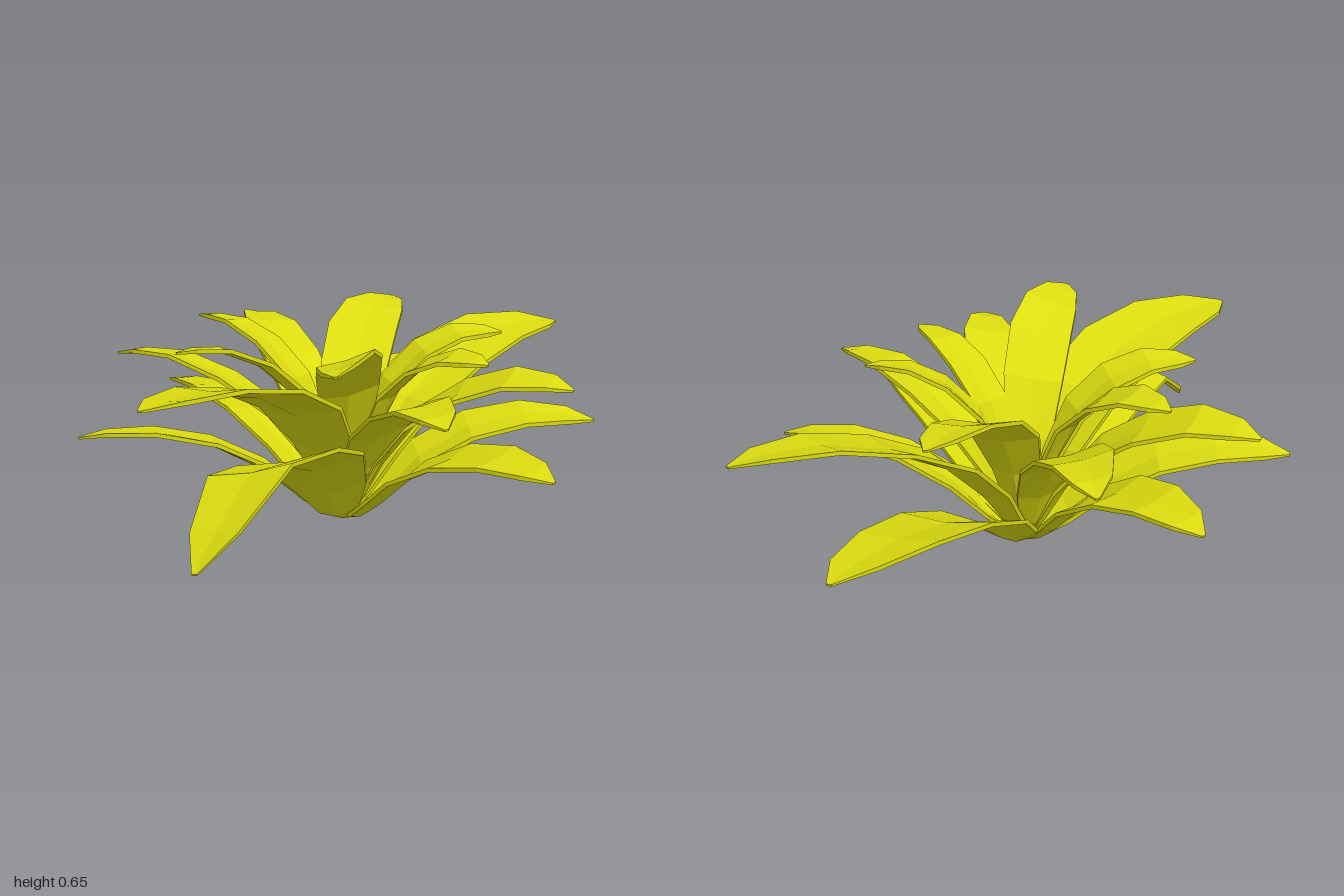
import * as THREE from 'three';

// Stations along a leaf, as fractions of its reach, with half width and trough depth
const REACH = [0.01, 0.07, 0.16, 0.3, 0.5, 0.72, 0.9, 1];
const WIDTH = [0.1, 0.4, 0.7, 0.95, 1, 0.86, 0.53, 0.06];
const CUP = [0.4, 0.35, 0.25, 0.16, 0.1, 0.08, 0.08, 0.05];
const BOW = 0.035;

// Midrib height at each station, as a fraction of the tip height
const RISE = {
  low: [0, 0.05, 0.24, 0.6, 0.91, 1.05, 1.05, 1],
  middle: [0, 0.14, 0.39, 0.67, 0.89, 1.02, 1.03, 1],
  high: [0, 0.18, 0.46, 0.73, 0.91, 1, 1.01, 1],
  drooping: [0, 0.15, 0.8, 1.6, 2.08, 2.28, 1.5, 0.95],
};

// tier, tip x, tip height, tip z, full width, sideways tilt
const LEAVES = [
  ['low', 0.02, 0.29, -1.0, 0.31, 0.15],
  ['low', -0.735, 0.31, -0.28, 0.21, 0.15],
  ['low', -0.715, 0.285, 0.4, 0.21, 0.15],
  ['low', 0.745, 0.285, 0.34, 0.21, 0.15],
  ['low', 0.72, 0.3, -0.29, 0.21, 0.15],
  ['drooping', -0.05, 0.15, 0.995, 0.31, 0.28],
  ['middle', 0.45, 0.48, -0.875, 0.29, 0.15],
  ['middle', -0.55, 0.5, -0.565, 0.21, 0.15],
  ['middle', -0.75, 0.475, 0.06, 0.2, 0.15],
  ['middle', 0.725, 0.475, 0.04, 0.2, 0.15],
  ['middle', 0.5, 0.475, 0.57, 0.2, 0.15],
  ['high', -0.235, 0.545, 0.915, 0.3, 0.12],
  ['high', 0.21, 0.61, 0.635, 0.19, 0.32],
  ['high', 0.43, 0.57, -0.24, 0.15, 0.15],
  ['high', -0.075, 0.57, -0.67, 0.22, 0.15],
  ['high', -0.54, 0.58, -0.11, 0.15, 0.15],
  ['high', -0.41, 0.56, 0.335, 0.16, 0.15],
  ['high', 0.5, 0.56, 0.165, 0.15, 0.15],
];

// A thin leaf that grows along +z, bowed and tilted towards one side
function leafGeometry(length, tipHeight, width, rise, tilt) {
  const rib = REACH.map((r, i) => new THREE.Vector2(r * length, rise[i] * tipHeight + 0.012));
  const rings = rib.map((p, i) => {
    const next = rib[Math.min(i + 1, rib.length - 1)];
    const prev = rib[Math.max(i - 1, 0)];
    const along = next.clone().sub(prev).normalize();
    const half = WIDTH[i] * width / 2;
    const bow = BOW * length * Math.sin(Math.PI * REACH[i]);
    const thick = i === rib.length - 1 ? 0.006 : 0.013;
    const point = (side, depth) => {
      const h = half * (Math.abs(side) * CUP[i] + side * tilt) - depth;
      return [bow + side * half, Math.max(0, p.y + along.x * h), p.x - along.y * h];
    };
    return [point(1, 0), point(0, 0), point(-1, 0),
      point(-1, thick), point(0, thick), point(1, thick)];
  });

  const positions = [];
  const quad = (a, b, c, d) => positions.push(...a, ...b, ...c, ...a, ...c, ...d);
  for (let i = 0; i < rings.length - 1; i++) {
    for (let j = 0; j < 6; j++) {
      const k = (j + 1) % 6;
      quad(rings[i][j], rings[i][k], rings[i + 1][k], rings[i + 1][j]);
    }
  }
  // Close the base and the tip
  const [a, b, c, d, e, f] = rings[0];
  quad(f, e, b, a);
  quad(e, d, c, b);
  const [u, v, w, x, y, z] = rings[rings.length - 1];
  quad(u, v, y, z);
  quad(v, w, x, y);

  const geometry = new THREE.BufferGeometry();
  geometry.setAttribute('position', new THREE.Float32BufferAttribute(positions, 3));
  geometry.computeVertexNormals();
  return geometry;
}

export function createModel() {
  const plant = new THREE.Group();
  plant.name = 'rosettePlant';
  const leafYellow = new THREE.MeshStandardMaterial({ color: 0xdcdc10, flatShading: true });
  leafYellow.name = 'leafYellow';

  // Tiers of leaves spread from one root
  const tiers = {};
  for (const [tier, x, y, z, width, tilt] of LEAVES) {
    if (!tiers[tier]) {
      tiers[tier] = new THREE.Group();
      tiers[tier].name = `${tier}Leaves`;
      plant.add(tiers[tier]);
    }
    const geometry = leafGeometry(Math.hypot(x, z), y, width, RISE[tier], tilt);
    const leaf = new THREE.Mesh(geometry, leafYellow);
    leaf.name = `${tier}Leaf`;
    leaf.rotation.y = Math.atan2(x, z);
    tiers[tier].add(leaf);
  }
  return plant;
}
